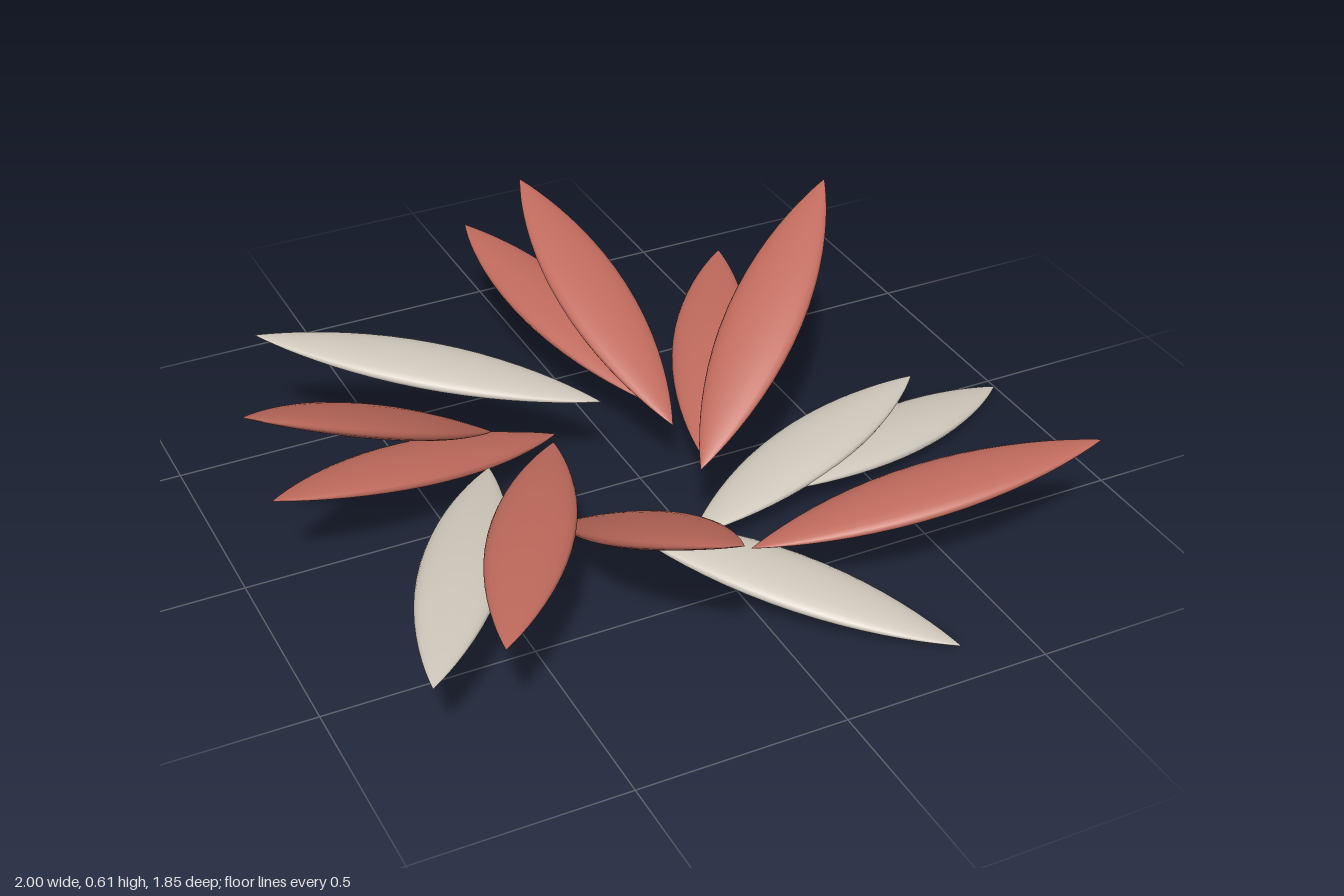
import * as THREE from 'three';
import { mergeVertices } from 'three/addons/utils/BufferGeometryUtils.js';

// Lens-shaped petal along local y (base to tip), width on x, top toward -z
function petalGeometry(length, width, thickness, arch) {
  let geo = new THREE.SphereGeometry(1, 20, 24);
  geo.deleteAttribute('uv');
  geo.deleteAttribute('normal');
  geo = mergeVertices(geo, 1e-5);
  const p = geo.attributes.position;
  for (let i = 0; i < p.count; i++) {
    const x = p.getX(i), y = p.getY(i), z = p.getZ(i);
    const r = Math.pow(Math.hypot(x, z), 0.9); // pulls the round ends into points
    p.setXYZ(i, x * r * width / 2, y * length / 2, z * r * thickness / 2 - arch * (1 - y * y));
  }
  geo.computeVertexNormals();
  return geo;
}

export function createModel() {
  const group = new THREE.Group();
  const red = new THREE.MeshStandardMaterial({ color: 0xbf6a5c });
  red.name = 'terracotta red';
  const grey = new THREE.MeshStandardMaterial({ color: 0xcfc8bc });
  grey.name = 'warm grey';

  function addPetal(name, material, base, tip) {
    const a = new THREE.Vector3(...base), b = new THREE.Vector3(...tip);
    const axis = b.clone().sub(a);
    const length = axis.length();
    axis.normalize();
    const side = new THREE.Vector3(0, 1, 0).cross(axis).normalize();
    const under = side.clone().cross(axis);
    const mesh = new THREE.Mesh(petalGeometry(length, 0.19, 0.055, 0.009), material);
    mesh.quaternion.setFromRotationMatrix(new THREE.Matrix4().makeBasis(side, axis, under));
    mesh.position.copy(a).add(b).multiplyScalar(0.5);
    mesh.name = name;
    group.add(mesh);
  }

  // Red petals: base, tip
  [
    [[0.075, 0.145, -0.09], [-0.065, 0.265, -0.925]],
    [[0.065, 0.165, 0.045], [0.025, 0.46, -0.755]],
    [[0.10, 0.12, 0.125], [0.53, 0.20, -0.61]],
    [[-0.005, 0.23, 0.325], [0.58, 0.61, -0.165]],
    [[-0.32, 0.14, -0.155], [-1.00, 0.54, 0.125]],
    [[-0.145, 0.07, -0.175], [-0.935, 0.262, 0.06]],
    [[-0.26, 0.23, 0.075], [-0.695, 0.30, 0.81]],
    [[-0.28, 0.07, 0.17], [-0.217, 0.475, 0.92]],
    [[-0.005, 0.17, 0.57], [0.83, 0.29, 0.695]],
  ].forEach(([base, tip], i) => addPetal(`redPetal${i + 1}`, red, base, tip));

  // Grey petals: base, tip
  [
    [[-0.08, 0.22, -0.045], [-0.775, 0.33, -0.525]],
    [[-0.405, 0.175, 0.03], [-0.84, 0.222, 0.77]],
    [[-0.207, 0.125, 0.272], [0.35, 0.004, 0.895]],
    [[-0.04, 0.07, 0.352], [0.75, 0.10, 0.018]],
    [[0.21, 0.09, 0.303], [1.00, 0.004, 0.028]],
  ].forEach(([base, tip], i) => addPetal(`greyPetal${i + 1}`, grey, base, tip));

  return group;
}
